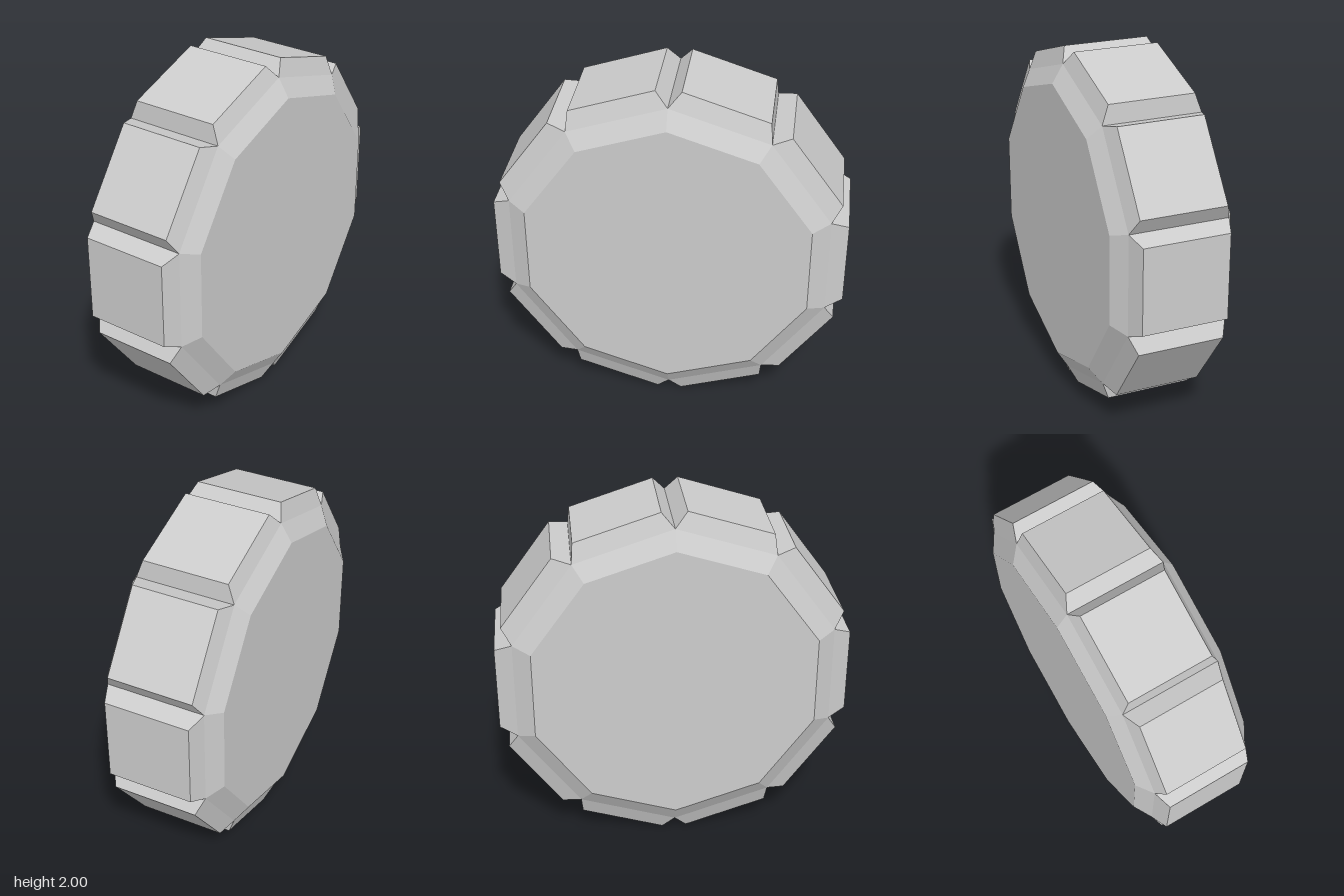
import * as THREE from 'three';

const SIDES = 10;
const RIM_R = 0.92, RIM_X = 0.279;    // corner radius and half width where the treads begin
const FACE_R = 0.818, FACE_X = 0.341; // flat side faces
const TOP = 0.972, TOP_X = 0.242, TOP_Z = 0.243; // outer face of a tread block

export function createModel() {
  const wheel = new THREE.Group();
  wheel.name = 'wheel';
  const material = new THREE.MeshStandardMaterial({ color: 0xcccccc, flatShading: true });

  // Ten-sided wheel body with bevelled shoulders, its axle along x
  const profile = [
    [0, -FACE_X], [FACE_R, -FACE_X], [RIM_R, -RIM_X],
    [RIM_R, RIM_X], [FACE_R, FACE_X], [0, FACE_X],
  ].map(([r, y]) => new THREE.Vector2(r, y));
  const bodyGeometry = new THREE.LatheGeometry(profile, SIDES, Math.PI / 2);
  bodyGeometry.rotateZ(-Math.PI / 2);
  const body = new THREE.Mesh(bodyGeometry, material);
  body.name = 'wheelBody';
  wheel.add(body);

  // Tread block: a box tapered towards its outer face
  const apothem = RIM_R * Math.cos(Math.PI / SIDES);
  const baseZ = RIM_R * Math.sin(Math.PI / SIDES);
  const treadGeometry = new THREE.BoxGeometry(2 * RIM_X, TOP - apothem, 2 * baseZ);
  const p = treadGeometry.attributes.position;
  for (let i = 0; i < p.count; i++) {
    if (p.getY(i) > 0) {
      p.setX(i, Math.sign(p.getX(i)) * TOP_X);
      p.setZ(i, Math.sign(p.getZ(i)) * TOP_Z);
    }
  }
  treadGeometry.translate(0, (TOP + apothem) / 2, 0);
  treadGeometry.computeVertexNormals();

  // One block on each side of the rim
  for (let i = 0; i < SIDES; i++) {
    const tread = new THREE.Mesh(treadGeometry, material);
    tread.name = `treadBlock${i + 1}`;
    tread.rotation.x = ((i + 0.5) * 2 * Math.PI) / SIDES;
    wheel.add(tread);
  }

  wheel.position.y = 1;
  const model = new THREE.Group();
  model.name = 'treadedWheel';
  model.add(wheel);
  return model;
}
